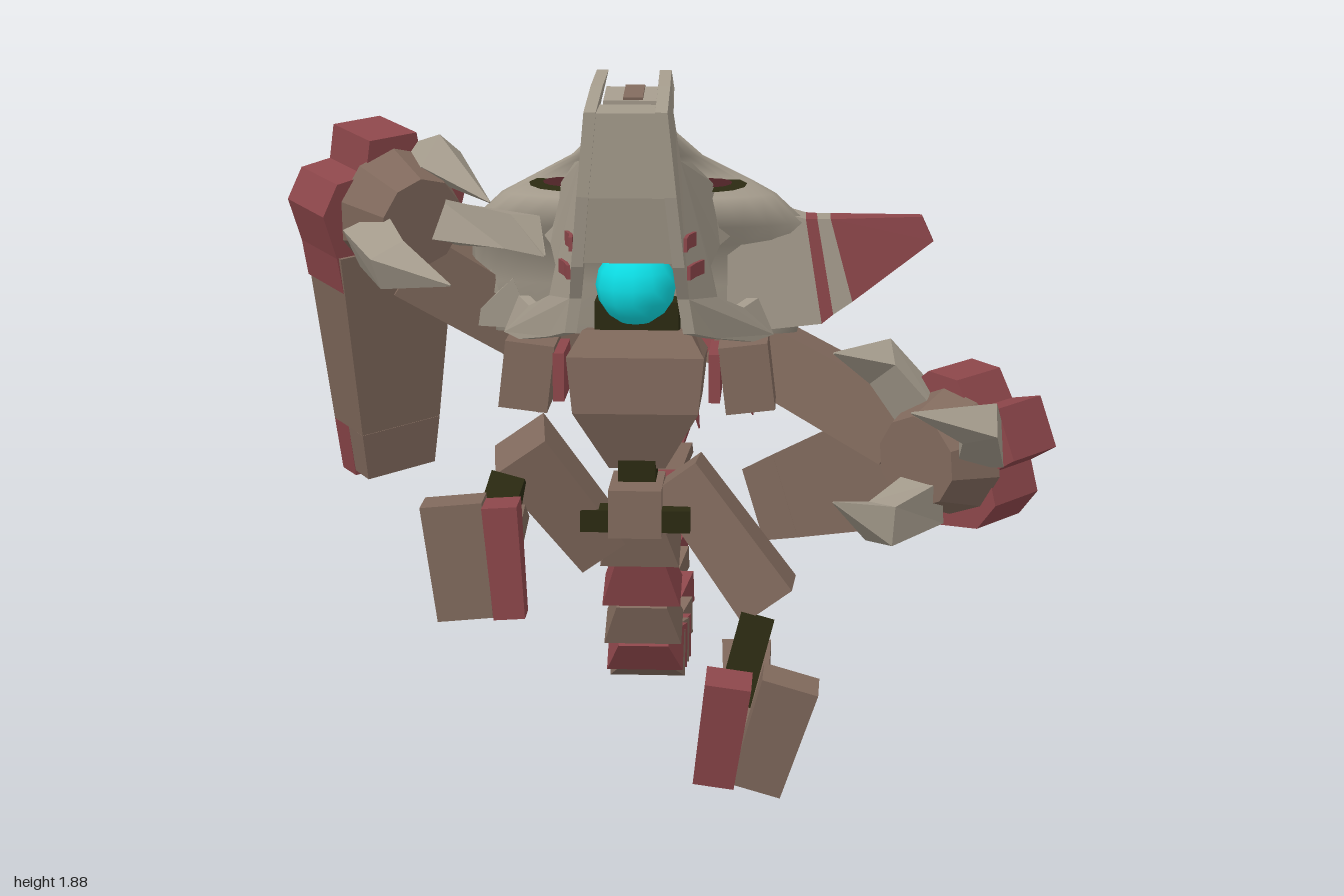
import * as THREE from 'three';

const std = (name, color, side = THREE.FrontSide) => {
  const m = new THREE.MeshStandardMaterial({ color, side });
  m.name = name;
  return m;
};
const V = (x, y, z) => new THREE.Vector3(x, y, z);
const CX = -0.085; // the body axis sits slightly off centre

// Skin a list of equal-length rings, each counter-clockwise about the direction of travel
function loft(rings, smooth = false) {
  const n = rings[0].length, pos = [], idx = [], last = (rings.length - 1) * n;
  rings.forEach(r => r.forEach(p => pos.push(p.x, p.y, p.z)));
  for (let i = 0; i < rings.length - 1; i++) for (let j = 0; j < n; j++) {
    const a = i * n + j, b = i * n + (j + 1) % n;
    idx.push(a, b, b + n, a, b + n, a + n);
  }
  for (let j = 1; j < n - 1; j++) idx.push(0, j + 1, j, last, last + j, last + j + 1);
  let g = new THREE.BufferGeometry();
  g.setAttribute('position', new THREE.Float32BufferAttribute(pos, 3));
  g.setIndex(idx);
  if (!smooth) g = g.toNonIndexed();
  g.computeVertexNormals();
  return g;
}

// Four-sided bar along a path; sizes are [across, along hint] at each point
function bar(points, sizes, hint) {
  return loft(points.map((p, i) => {
    const d = points[Math.min(i + 1, points.length - 1)].clone().sub(points[Math.max(i - 1, 0)]).normalize();
    const u = hint.clone().cross(d).normalize(), v = d.clone().cross(u);
    const [w, h] = sizes[i];
    return [[1, 1], [-1, 1], [-1, -1], [1, -1]].map(([a, b]) =>
      p.clone().addScaledVector(u, a * w / 2).addScaledVector(v, b * h / 2));
  }));
}

// Head rows: height, half width, front z, back z; the step near 1.56 is the eye shelf
const HEAD = [[1.16, 0.42, 0.43, 0.32], [1.3, 0.45, 0.46, 0.28], [1.41, 0.45, 0.48, 0.285], [1.47, 0.44, 0.57, 0.29],
  [1.545, 0.36, 0.56, 0.31], [1.575, 0.3, 0.47, 0.36], [1.65, 0.17, 0.52, 0.44], [1.73, 0.09, 0.58, 0.5]];
function headPoint(y, t, out = 0) {
  let i = 0;
  while (i < HEAD.length - 2 && y > HEAD[i + 1][0]) i++;
  const k = (y - HEAD[i][0]) / (HEAD[i + 1][0] - HEAD[i][0]);
  const [, w, f, b] = HEAD[i].map((q, j) => THREE.MathUtils.lerp(q, HEAD[i + 1][j], k));
  return V(CX + (w + out) * Math.sin(t), y, (f + b) / 2 + ((f - b) / 2 + out) * Math.cos(t));
}

export function createModel() {
  const bone = std('bone', 0xa39a8b), brown = std('brown', 0x80695c);
  const red = std('red', 0x8c464a, THREE.DoubleSide), cyan = std('cyan', 0x0cdde4);
  const olive = std('dark olive', 0x2a2911), maroon = std('maroon', 0x4a2124);
  const root = new THREE.Group();
  root.name = 'creature';
  const add = (name, geo, mat, parent = root) => {
    const m = new THREE.Mesh(geo, mat);
    m.name = name;
    parent.add(m);
    return m;
  };
  const box = (name, s, p, mat, parent) => {
    const m = add(name, new THREE.BoxGeometry(...s), mat, parent);
    m.position.set(...p);
    return m;
  };
  const X = V(1, 0, 0), Y = V(0, 1, 0), Z = V(0, 0, 1);

  // Skull shell
  add('skull', loft(HEAD.map(r => Array.from({ length: 28 }, (_, j) => headPoint(r[0], j / 28 * Math.PI * 2))), true), bone);
  add('snout', bar([V(CX, 1.43, 0.52), V(CX, 1.62, 0.54), V(CX, 1.82, 0.585)], [[0.26, 0.18], [0.2, 0.17], [0.15, 0.11]], Z), bone);
  box('snoutStripe', [0.05, 0.009, 0.1], [CX, 1.822, 0.585], brown).rotation.x = 0.22;

  // Painted arch and dot on the back of the skull
  const arch = [], idx = [];
  for (let i = 0; i <= 32; i++) {
    const s = i / 16 - 1, y = 1.3 + 0.3 * Math.sqrt(1 - s ** 4);
    [[y, 0.58], [y - 0.032, 0.51]].forEach(([h, a]) => arch.push(...headPoint(h, Math.PI + s * a, 0.008).toArray()));
    if (i) idx.push(2 * i - 2, 2 * i, 2 * i - 1, 2 * i - 1, 2 * i, 2 * i + 1);
  }
  const archGeo = new THREE.BufferGeometry();
  archGeo.setAttribute('position', new THREE.Float32BufferAttribute(arch, 3));
  archGeo.setIndex(idx);
  archGeo.computeVertexNormals();
  add('archMark', archGeo, red);
  const dot = add('dotMark', new THREE.CircleGeometry(0.024, 12), red);
  dot.position.copy(headPoint(1.51, Math.PI, 0.012));
  dot.rotation.set(0.3, Math.PI, 0);

  // Long side horn with slanted stripes, and the broken one opposite
  const slice = k => [[k[0], k[1], k[4]], [k[2], k[3], k[4]], [k[2], k[3], k[5]], [k[0], k[1], k[5]]].map(p => V(...p));
  const cuts = [[0.15, 1.53, 0.15, 1.17, 0.46, 0.3], [0.355, 1.48, 0.4, 1.2, 0.46, 0.35], [0.385, 1.48, 0.43, 1.225, 0.46, 0.36],
    [0.42, 1.48, 0.48, 1.26, 0.46, 0.36], [0.66, 1.485, 0.69, 1.42, 0.44, 0.4]];
  for (let i = 0; i < 4; i++) add('sideHorn', loft([slice(cuts[i]), slice(cuts[i + 1])]), i % 2 ? red : bone);
  [[1.24, -0.55, 1.18], [1.32, -0.53, 1.28]].forEach(([y, x, ty]) =>
    add('brokenHorn', bar([V(-0.4, y, 0.38), V(x, ty, 0.4)], [[0.1, 0.15], [0.01, 0.01]], Y), bone));

  // Open jaw: two side plates that spread downward and backward, joined by a chin
  const spread = (y, z) => 0.08 + (1.88 - y) * (0.1 + 0.8 * Math.max(0, 0.8 - z));
  const outline = [[0.9, 1.81], [0.72, 1.855], [0.58, 1.88], [0.63, 1.84], [0.74, 1.79], [0.74, 1.67], [0.63, 1.65],
    [0.5, 1.58], [0.5, 1.44], [0.58, 1.43], [0.66, 1.39], [0.66, 1.31], [0.55, 1.26], [0.47, 1.27], [0.46, 1.17],
    [0.55, 1.17], [0.7, 1.21], [0.79, 1.24], [0.8, 1.33], [0.85, 1.42], [0.885, 1.6]];
  for (const s of [-1, 1]) {
    const g = new THREE.ExtrudeGeometry(new THREE.Shape(outline.map(p => new THREE.Vector2(...p))), { depth: 0.03, bevelEnabled: false });
    const p = g.attributes.position;
    for (let i = 0; i < p.count; i++) {
      const z = p.getX(i), y = p.getY(i);
      p.setXYZ(i, CX + s * (spread(y, z) + p.getZ(i) - 0.015), y, z);
    }
    if (s > 0) for (let i = 0; i < p.count; i += 3) {
      const a = V(0, 0, 0).fromBufferAttribute(p, i + 1), b = V(0, 0, 0).fromBufferAttribute(p, i + 2);
      p.setXYZ(i + 1, b.x, b.y, b.z);
      p.setXYZ(i + 2, a.x, a.y, a.z);
    }
    g.computeVertexNormals();
    add('jawSide', g, bone);
    // Cheek stripes, and eyes lying on the shelf under the brow
    for (const [y, z] of [[1.475, 0.79], [1.4, 0.77]])
      add('cheekStripe', bar([z - 0.05, z, z + 0.05].map(k => V(CX + s * (spread(y, k) + 0.022), y, k)),
        [[0.009, 0.035], [0.009, 0.035], [0.009, 0.035]], Y), red);
    [['eyeSocket', 0.095, 0.043, 0, olive], ['eye', 0.055, 0.026, 0.005, maroon]].forEach(([name, w, h, up, mat]) => {
      const e = add(name, new THREE.CircleGeometry(1, 12).scale(w, h, 1).rotateX(-1.25).rotateY(s * 0.3), mat);
      e.position.set(CX + s * 0.195, 1.573 + up, 0.487);
    });
  }
  add('chin', bar([V(CX, 1.43, 0.81), V(CX, 1.6, 0.82), V(CX, 1.81, 0.83)], [[0.25, 0.06], [0.22, 0.12], [0.17, 0.13]], Z), bone);
  const orb = add('mouthOrb', new THREE.SphereGeometry(0.105, 12, 8), cyan);
  orb.position.set(CX, 1.32, 0.56);
  box('neck', [0.22, 0.2, 0.2], [CX, 1.17, 0.44], olive);

  // Mane of bone spikes with red ones beneath
  for (let i = -3; i <= 3; i++)
    add('maneSpike', bar([V(CX + i * 0.012, 1.47, 0.31), V(CX + i * 0.055, 1.22, 0.25), V(CX + i * 0.09, 0.98 + Math.abs(i) * 0.04, 0.17)],
      [[0.02, 0.03], [0.07, 0.06], [0.004, 0.004]], Z), bone);
  for (const i of [-2, -1, 1, 2])
    add('redSpike', bar([V(CX + i * 0.1, 1.18, 0.3), V(CX + i * 0.15, 0.8 + Math.abs(i) * 0.04, 0.18)], [[0.08, 0.05], [0.004, 0.004]], Z), red);

  // Torso and hips
  add('chest', bar([V(CX, 0.82, 0.47), V(CX, 0.98, 0.47), V(CX, 1.12, 0.46), V(CX, 1.18, 0.45)],
    [[0.15, 0.14], [0.33, 0.28], [0.36, 0.3], [0.28, 0.24]], Z), brown);
  box('waist', [0.1, 0.14, 0.1], [CX, 0.79, 0.5], olive);
  box('hips', [0.14, 0.13, 0.2], [CX, 0.72, 0.54], brown);
  box('hipAxle', [0.29, 0.06, 0.07], [CX, 0.7, 0.6], olive);
  for (const s of [-1, 1]) {
    box('shoulder', [0.13, 0.18, 0.2], [CX + s * 0.29, 1.07, 0.46], brown).rotation.z = s * 0.12;
    box('shoulderStripe', [0.03, 0.13, 0.18], [CX + s * 0.205, 1.07, 0.47], red);
  }

  // Arms: upper arm, tapering forearm, cross-shaped red fist and three claws
  const half = [[0.07, 0.2], [0.085, 0.11], [0.17, 0.1], [0.215, 0.02], [0.18, -0.1], [0.165, -0.2]];
  const fistShape = new THREE.Shape([...half.map(([x, y]) => [-x, y]), ...half.slice().reverse()].map(p => new THREE.Vector2(...p)));
  const arm = (name, shoulder, elbow, tip, wrist, normal, claws) => {
    const g = new THREE.Group();
    g.name = name;
    root.add(g);
    add('upperArm', bar([shoulder, elbow], [[0.17, 0.17], [0.19, 0.19]], Z), brown, g);
    add('upperArmCap', bar([shoulder.clone().lerp(elbow, -0.12), shoulder], [[0.13, 0.13], [0.17, 0.17]], Z), red, g);
    const d = wrist.clone().sub(tip), L = d.length();
    d.normalize();
    const u = normal.clone().cross(d).normalize(), n = d.clone().cross(u);
    const f = new THREE.Group();
    f.name = 'forearm';
    f.position.copy(wrist);
    f.quaternion.setFromRotationMatrix(new THREE.Matrix4().makeBasis(u, n, d));
    g.add(f);
    // The red tip wraps the outer half only
    add('forearmTip', bar([V(0, 0.035, -L), V(0, 0.038, -L + 0.15)], [[0.21, 0.07], [0.242, 0.076]], Y), red, f);
    add('forearmTipInner', bar([V(0, -0.035, -L + 0.015), V(0, -0.038, -L + 0.15)], [[0.21, 0.07], [0.242, 0.076]], Y), brown, f);
    add('forearmBody', bar([V(0, 0, -L + 0.15), V(0, 0, -0.1)], [[0.242, 0.152], [0.35, 0.19]], Y), brown, f);
    const fist = add('fist', new THREE.ExtrudeGeometry(fistShape, { depth: 0.19, bevelEnabled: false }), red, f);
    fist.rotation.x = Math.PI / 2;
    fist.position.y = 0.105;
    const mark = (markName, k, r, sides, mat) => {
      const m = add(markName, new THREE.CircleGeometry(r, sides), mat, f);
      m.position.set(0, 0.082 + 0.018 * (1 - k), -k * L);
      m.rotation.x = -Math.PI / 2 - 0.03;
    };
    mark('diamondMark', 0.53, 0.08, 6, red);
    mark('tipDot', 0.91, 0.02, 8, maroon);
    const palm = add('palm', new THREE.CylinderGeometry(0.17, 0.12, 0.14, 10).toNonIndexed(), brown, f);
    palm.geometry.computeVertexNormals();
    palm.position.set(0, -0.15, 0);
    // Claws bow outward between the palm and their tips
    const base = wrist.clone().addScaledVector(n, -0.12);
    const centre = claws.reduce((a, c) => a.add(c), V(0, 0, 0)).multiplyScalar(1 / 3);
    claws.forEach(c => {
      const out = c.clone().sub(centre).normalize();
      const start = base.clone().addScaledVector(out, 0.12);
      const mid = start.clone().lerp(c, 0.5).addScaledVector(out, 0.07).addScaledVector(d, 0.03);
      add('claw', bar([start, mid, c], [[0.11, 0.12], [0.09, 0.1], [0.004, 0.004]], out), bone, g);
    });
  };
  arm('leftArm', V(0.14, 1.14, 0.27), V(0.62, 0.9, 0.4), V(0.25, 0.6, 0.07), V(0.785, 0.89, 0.52), V(0.62, 0, -0.78),
    [V(0.43, 1.17, 0.68), V(0.62, 1.07, 0.9), V(0.43, 0.84, 0.91)]);
  arm('rightArm', V(-0.28, 1.08, 0.25), V(-0.7, 1.36, 0.38), V(-0.79, 0.75, 0.3), V(-0.775, 1.51, 0.42), V(-0.64, 0.1, -0.77),
    [V(-0.52, 1.38, 0.9), V(-0.3, 1.43, 0.76), V(-0.45, 1.55, 0.66)]);

  // Legs: thigh, dark ankle joint and a split foot
  const leg = (name, thigh, joint, heel, toes) => {
    const g = new THREE.Group();
    g.name = name;
    root.add(g);
    add('thigh', bar(thigh, [[0.14, 0.16], [0.16, 0.18]], Z), brown, g);
    add('ankle', bar(joint, [[0.08, 0.09], [0.08, 0.09]], X), olive, g);
    add('heel', bar(heel, [[0.11, 0.13], [0.08, 0.1]], X), brown, g);
    toes.forEach(([a, b, w], i) => add('toe', bar([a, b], [[w, 0.1], [w * 0.9, 0.07]], Z), i ? brown : red, g));
  };
  leg('leftLeg', [V(0.02, 0.8, 0.5), V(0.27, 0.46, 0.54)], [V(0.24, 0.44, 0.62), V(0.18, 0.22, 0.68)],
    [V(0.21, 0.34, 0.56), V(0.21, 0.06, 0.74)],
    [[V(0.17, 0.34, 0.83), V(0.13, 0.04, 0.78), 0.12], [V(0.33, 0.33, 0.8), V(0.24, 0.02, 0.76), 0.15]]);
  leg('rightLeg', [V(-0.18, 0.6, 0.52), V(-0.39, 0.9, 0.6)], [V(-0.41, 0.82, 0.66), V(-0.46, 0.66, 0.76)],
    [V(-0.43, 0.74, 0.66), V(-0.45, 0.55, 0.78)],
    [[V(-0.41, 0.81, 0.85), V(-0.39, 0.51, 0.85), 0.09], [V(-0.54, 0.8, 0.8), V(-0.51, 0.49, 0.8), 0.16]]);

  // Segmented tail, each link flaring away from the body
  const tail = [[0.42, 0.6], [0.363, 0.473], [0.308, 0.343], [0.24, 0.234], [0.15, 0.17], [0.03, 0.14], [-0.09, 0.115],
    [-0.21, 0.08], [-0.323, 0.09], [-0.42, 0.14], [-0.527, 0.2], [-0.62, 0.26], [-0.7, 0.31], [-0.756, 0.4],
    [-0.806, 0.478], [-0.86, 0.56], [-0.87, 0.677], [-0.856, 0.83], [-0.86, 0.98]].map(([z, y]) => V(CX, y, z));
  for (let i = 0; i < 18; i++) {
    const step = tail[i + 1].clone().sub(tail[Math.max(i - 1, 0)]).multiplyScalar(i ? 0.23 : 0.42);
    const t = i > 9 && i < 16 ? 0.085 : 0.115;
    add('tailLink', bar([tail[i].clone().sub(step), tail[i].clone().add(step)],
      [[t * 0.85, i > 9 ? 0.11 : 0.14], [t * 1.15, i > 9 ? 0.175 : 0.215]], X), i % 2 ? red : brown);
  }

  // Bladed stinger
  add('stingerBase', bar([V(CX, 0.91, -0.865), V(CX, 1.1, -0.86)], [[0.08, 0.12], [0.1, 0.17]], X), bone);
  [[0, 1.46, -0.865, 0.12], [-0.14, 1.28, -0.77, 0.09], [0.18, 1.27, -0.75, 0.09], [0.03, 1.3, -0.9, 0.07]]
    .forEach(([x, y, z, w]) => add('stingerBlade', bar([V(CX + x * 0.3, 1.02, -0.86), V(CX + x * 0.6, 1.16, (z - 0.86) / 2), V(CX + x, y, z)],
      [[0.07, w], [0.06, w], [0.004, 0.004]], X), bone));
  return root;
}
